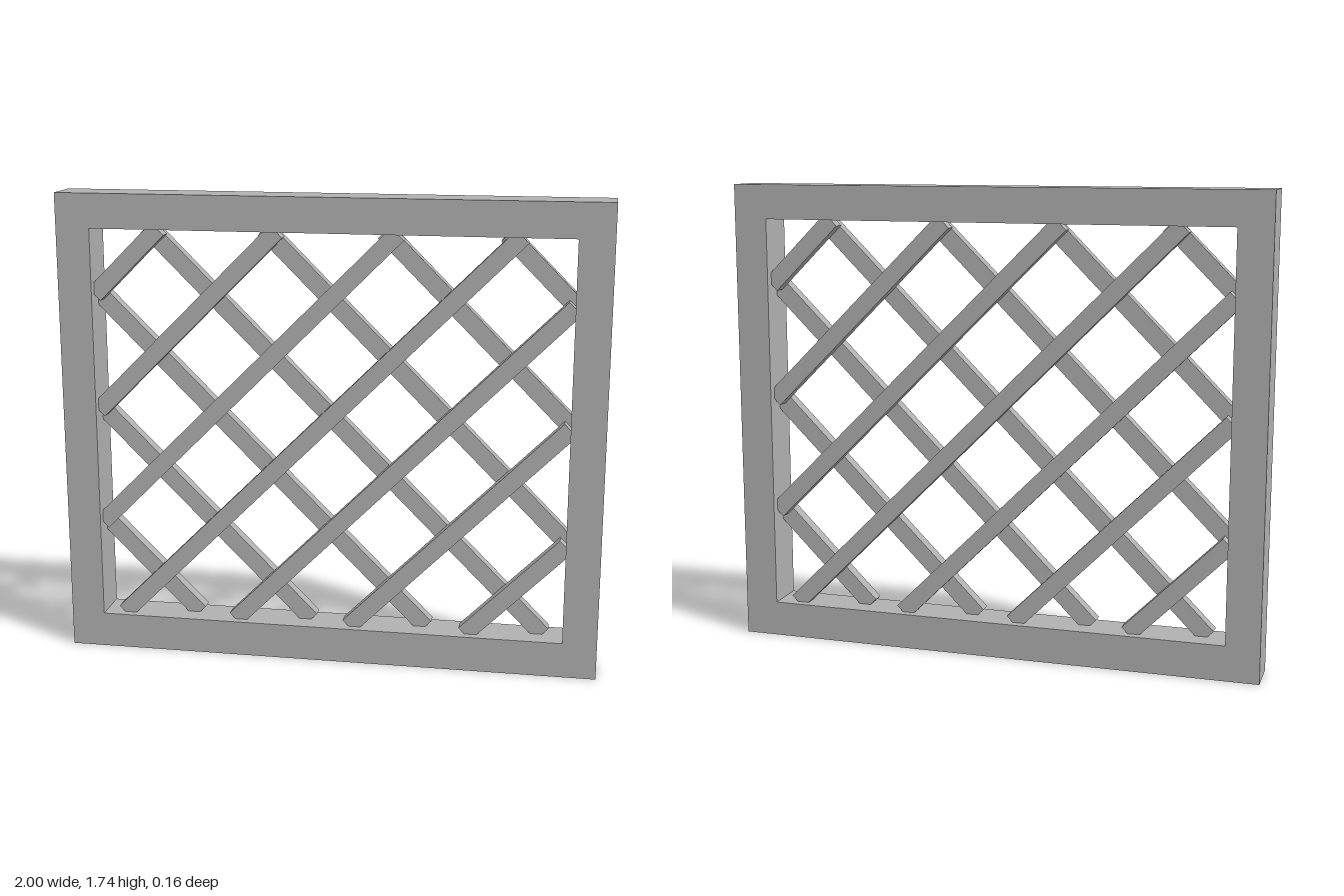
import * as THREE from 'three';

const HEIGHT = 1.74, DEPTH = 0.157;
// Opening inside the frame
const IN_X = 0.874, IN_BOTTOM = 0.132, IN_TOP = 1.613;
// Lattice slats
const SLAT_W = 0.064, SLAT_T = 0.047, SPACING = 0.437, MIDDLE = 0.93;

function rectangle(path, x, y0, y1) {
  path.moveTo(-x, y0);
  path.lineTo(x, y0);
  path.lineTo(x, y1);
  path.lineTo(-x, y1);
  path.closePath();
  return path;
}

// One layer of parallel 45 degree slats, each running from edge to edge of the opening
function createSlatLayer(name, material) {
  const layer = new THREE.Group();
  layer.name = name;
  for (let k = -3; k <= 3; k++) {
    const rise = MIDDLE + k * SPACING; // slat centre line: y = x + rise
    const x0 = Math.max(-IN_X, IN_BOTTOM - rise);
    const x1 = Math.min(IN_X, IN_TOP - rise);
    const slat = new THREE.Mesh(
      new THREE.BoxGeometry((x1 - x0) * Math.SQRT2, SLAT_W, SLAT_T), material);
    slat.name = 'slat';
    slat.position.set((x0 + x1) / 2, (x0 + x1) / 2 + rise, SLAT_T / 2);
    slat.rotation.z = Math.PI / 4;
    layer.add(slat);
  }
  return layer;
}

export function createModel() {
  const model = new THREE.Group();
  model.name = 'latticePanel';
  const grey = new THREE.MeshStandardMaterial({ color: 0xb0b0b0 });
  grey.name = 'grey';

  // Rectangular frame with an open middle
  const outline = rectangle(new THREE.Shape(), 1, 0, HEIGHT);
  outline.holes.push(rectangle(new THREE.Path(), IN_X, IN_BOTTOM, IN_TOP));
  const frameGeometry = new THREE.ExtrudeGeometry(outline, { depth: DEPTH, bevelEnabled: false });
  frameGeometry.translate(0, 0, -DEPTH / 2);
  const frame = new THREE.Mesh(frameGeometry, grey);
  frame.name = 'frame';
  model.add(frame);

  // Rear layer is the front layer turned around, so the slats cross
  const front = createSlatLayer('frontSlats', grey);
  const back = createSlatLayer('backSlats', grey);
  back.rotation.y = Math.PI;
  model.add(front, back);
  return model;
}
